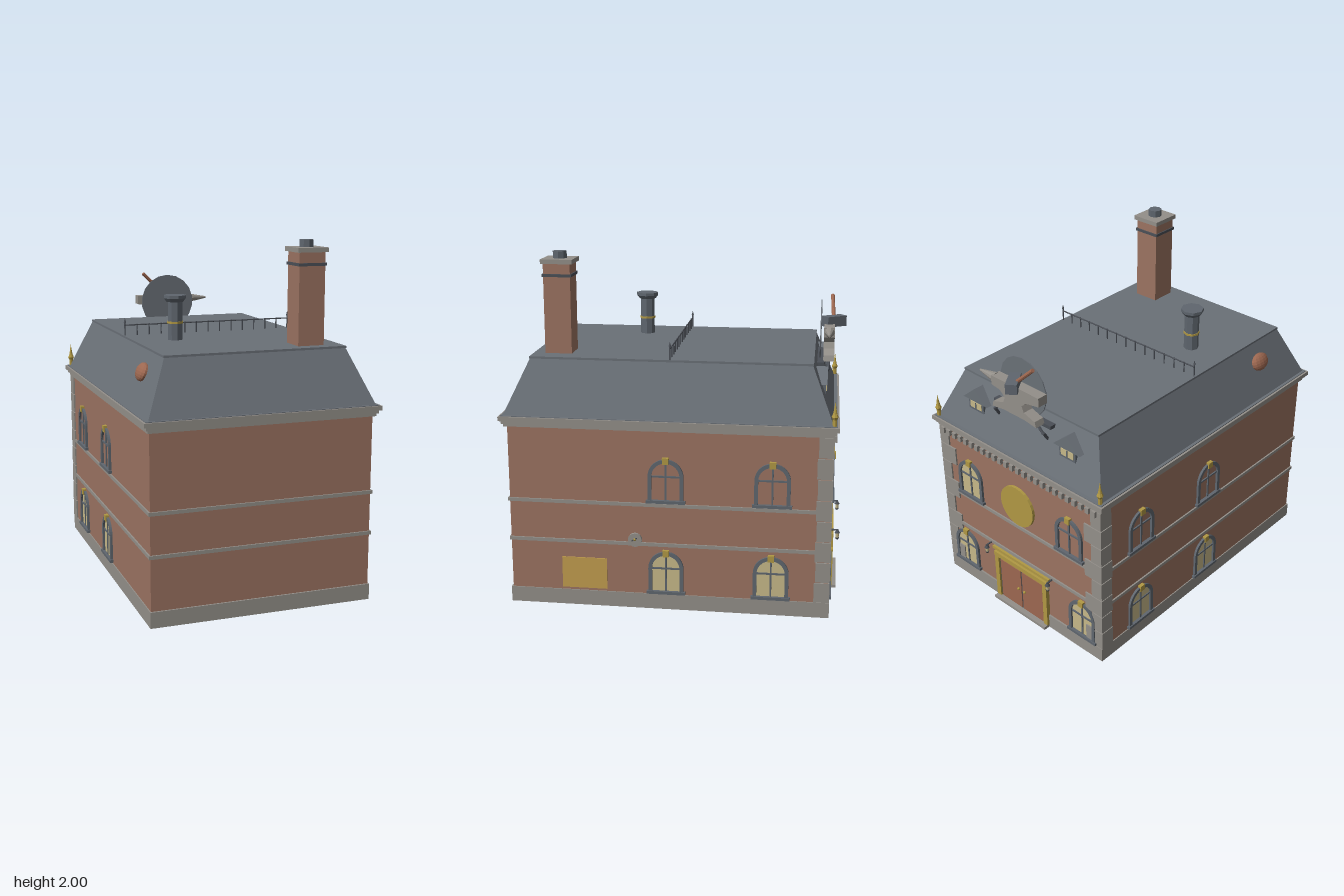
import * as THREE from 'three';

const mat = (name, color) => {
  const m = new THREE.MeshStandardMaterial({ color });
  m.name = name;
  return m;
};

export function createModel() {
  const root = new THREE.Group();
  root.name = 'townHall';
  const brick = mat('brick', 0x9b7361), slate = mat('slate', 0x6a7077), stone = mat('stone', 0x938f89);
  const iron = mat('iron', 0x4b4f56), trim = mat('window trim', 0x5f666e), brass = mat('brass', 0xb09844);
  const lit = mat('lit glass', 0xc6b888), copper = mat('copper', 0x9c6750), amber = mat('amber sign', 0xc29d4e);
  for (const m of [brick, slate, stone, iron, trim, brass, copper]) m.flatShading = true;

  const add = (name, geo, m, parent = root) => {
    const mesh = new THREE.Mesh(geo, m);
    mesh.name = name;
    parent.add(mesh);
    return mesh;
  };
  // Box given by its limits
  const box = (name, m, x0, x1, y0, y1, z0, z1, parent) => {
    const b = add(name, new THREE.BoxGeometry(x1 - x0, y1 - y0, z1 - z0), m, parent);
    b.position.set((x0 + x1) / 2, (y0 + y1) / 2, (z0 + z1) / 2);
    return b;
  };
  const cyl = (name, m, rTop, rBot, y0, y1, x, z, sides = 8, parent = root) => {
    const c = add(name, new THREE.CylinderGeometry(rTop, rBot, y1 - y0, sides), m, parent);
    c.position.set(x, (y0 + y1) / 2, z);
    return c;
  };
  const rod = (name, m, a, b, r, sides = 6) => {
    const p = new THREE.Vector3(...a), q = new THREE.Vector3(...b);
    const c = add(name, new THREE.CylinderGeometry(r, r, p.distanceTo(q), sides), m);
    c.position.copy(p).add(q).multiplyScalar(0.5);
    c.quaternion.setFromUnitVectors(new THREE.Vector3(0, 1, 0), q.sub(p).normalize());
    return c;
  };
  const extrude = (shape, depth) => new THREE.ExtrudeGeometry(shape, { depth, bevelEnabled: false, curveSegments: 10 });
  const poly = pts => new THREE.Shape(pts.map(p => new THREE.Vector2(...p)));

  // Walls, plinth, string courses and stepped cornice
  box('walls', brick, -0.634, 0.634, 0.01, 1.06, -0.893, 0.915);
  box('plinth', stone, -0.64, 0.64, 0, 0.09, -0.903, 0.925);
  box('lowerBand', stone, -0.643, 0.643, 0.38, 0.4, -0.902, 0.924);
  box('upperBand', stone, -0.643, 0.643, 0.615, 0.635, -0.902, 0.924);
  [[0.648, 1.055, 1.072], [0.658, 1.072, 1.09], [0.672, 1.09, 1.115]].forEach(([w, a, b]) =>
    box('cornice', stone, -w, w, a, b, -w - 0.254, w + 0.285));
  box('gutter', slate, -0.66, 0.66, 1.113, 1.119, -0.915, 0.946);

  // Mansard roof: a box with its top drawn inwards
  const roofGeo = new THREE.BoxGeometry(1.29, 0.308, 1.831);
  const rp = roofGeo.attributes.position;
  for (let i = 0; i < rp.count; i++) {
    if (rp.getY(i) > 0) rp.setXYZ(i, Math.sign(rp.getX(i)) * 0.515, 0.154, rp.getZ(i) > 0 ? 0.78 : -0.792);
  }
  roofGeo.computeVertexNormals();
  add('mansardRoof', roofGeo, slate).position.set(0, 1.269, 0.02);
  box('roofDeck', slate, -0.52, 0.52, 1.418, 1.43, -0.777, 0.805);

  // Quoins and dentils on the entrance side
  for (const s of [-1, 1]) {
    for (let i = 0; i < 8; i++) {
      const y = 0.09 + i * 0.1206, w = i % 2 ? 0.075 : 0.125, d = i % 2 ? 0.073 : 0.079;
      const q = box('quoin', stone, -w / 2, w / 2, y + 0.003, y + 0.1176, -0.902, -0.893 + d);
      q.position.x = s * (0.643 - w / 2);
    }
  }
  for (let i = 0; i < 26; i++) {
    const x = -0.6 + i * 0.048;
    box('dentil', stone, x - 0.013, x + 0.013, 1.02, 1.056, -0.915, -0.89);
  }

  // Arched windows
  const arch = (r, bottom) => {
    const s = new THREE.Shape();
    s.moveTo(-r, bottom);
    s.lineTo(r, bottom);
    s.lineTo(r, 0);
    s.absarc(0, 0, r, 0, Math.PI, false);
    s.lineTo(-r, bottom);
    return s;
  };
  const frameShape = arch(0.1, -0.14);
  frameShape.holes.push(arch(0.079, -0.139));
  const frameGeo = extrude(frameShape, 0.014), paneGeo = new THREE.ShapeGeometry(arch(0.08, -0.14), 10);
  const makeWindow = (x, y, z, turn, isLit) => {
    const g = new THREE.Group();
    g.name = 'archedWindow';
    add('frame', frameGeo, trim, g);
    if (isLit) add('pane', paneGeo, lit, g).position.z = 0.002;
    box('mullion', trim, -0.005, 0.005, -0.14, 0.08, 0, 0.008, g);
    box('transom', trim, -0.08, 0.08, -0.006, 0.004, 0, 0.008, g);
    box('sill', trim, -0.11, 0.11, -0.155, -0.138, 0, 0.02, g);
    box('keystone', brass, -0.018, 0.018, 0.073, 0.11, 0, 0.021, g);
    g.position.set(x, y, z);
    g.rotation.y = turn;
    root.add(g);
  };
  for (const s of [-1, 1]) {
    for (const z of [0.02, -0.573]) {
      makeWindow(s * 0.634, 0.25, z, s * Math.PI / 2, true);
      makeWindow(s * 0.634, 0.795, z, s * Math.PI / 2, false);
    }
    makeWindow(s * 0.485, 0.25, -0.893, Math.PI, true);
    makeWindow(s * 0.4, 0.795, -0.893, Math.PI, s > 0);
  }

  // Round brass plaque above the entrance
  const plaque = cyl('roundPlaque', brass, 0.13, 0.13, 0.77, 0.79, 0, -0.9, 24);
  plaque.rotation.x = Math.PI / 2;

  // Entrance: double door, brass surround, step and lamps
  box('doorStep', stone, -0.215, 0.215, 0, 0.018, -0.942, -0.89);
  box('doorRecess', iron, -0.19, 0.19, 0.018, 0.315, -0.906, -0.89);
  for (const s of [-1, 1]) {
    box('doorLeaf', copper, s * 0.09 - 0.085, s * 0.09 + 0.085, 0.02, 0.3, -0.91, -0.9);
    box('doorPost', brass, s * 0.2 - 0.016, s * 0.2 + 0.016, 0.018, 0.32, -0.918, -0.89);
    const knob = add('doorKnob', new THREE.SphereGeometry(0.009, 8, 6), brass);
    knob.position.set(s * 0.025, 0.16, -0.914);
    rod('lampArm', iron, [s * 0.255, 0.385, -0.89], [s * 0.255, 0.385, -0.947], 0.005);
    cyl('lampGlass', lit, 0.011, 0.009, 0.338, 0.368, s * 0.255, -0.94);
    cyl('lampCap', iron, 0.006, 0.016, 0.366, 0.384, s * 0.255, -0.94);
    cyl('lampFoot', iron, 0.012, 0.008, 0.328, 0.338, s * 0.255, -0.94);
  }
  box('lintel', brass, -0.22, 0.22, 0.315, 0.345, -0.918, -0.89);
  box('lintelCap', brass, -0.235, 0.235, 0.358, 0.376, -0.914, -0.89);

  // Side sign plate and wall gauge
  box('signPlate', amber, 0.634, 0.64, 0.105, 0.29, 0.36, 0.62);
  const gauge = cyl('wallGauge', stone, 0.04, 0.04, 0.405, 0.425, 0.641, 0.195, 16);
  gauge.rotation.z = Math.PI / 2;
  const needle = box('gaugeNeedle', iron, 0.65, 0.656, 0.417, 0.423, 0.18, 0.215);
  needle.rotation.x = 0.5;
  const hub = add('gaugeHub', new THREE.SphereGeometry(0.008, 8, 6), brass);
  hub.position.set(0.652, 0.42, 0.195);

  // Chimney
  box('chimneyStack', brick, 0.264, 0.416, 1.42, 1.94, 0.585, 0.738);
  box('chimneyBand', iron, 0.257, 0.423, 1.862, 1.878, 0.578, 0.745);
  box('chimneyCap', stone, 0.25, 0.43, 1.935, 1.96, 0.57, 0.75);
  cyl('chimneyPot', trim, 0.04, 0.04, 1.955, 2, 0.338, 0.658);

  // Roof vent
  cyl('ventPipe', trim, 0.043, 0.043, 1.42, 1.66, -0.285, 0.265);
  cyl('ventRing', brass, 0.047, 0.047, 1.523, 1.535, -0.285, 0.265);
  cyl('ventFlare', trim, 0.066, 0.05, 1.645, 1.665, -0.285, 0.265);
  cyl('ventCap', trim, 0.066, 0.066, 1.665, 1.682, -0.285, 0.265);

  // Roof railing
  rod('handRail', iron, [-0.513, 1.49, 0.012], [0.513, 1.49, 0.012], 0.004);
  for (let i = 0; i < 15; i++) {
    const x = -0.511 + i * 0.073, end = i % 14 === 0;
    cyl('railPost', iron, 0.004, 0.004, 1.425, end ? 1.51 : 1.495, x, 0.012, 6);
    if (end) cyl('railSpike', iron, 0, 0.007, 1.505, 1.532, x, 0.012, 6);
  }

  // Copper dome on the roof slope
  const dome = add('copperDome', new THREE.SphereGeometry(0.07, 14, 10), copper);
  dome.scale.set(0.45, 0.75, 1);
  dome.position.set(-0.568, 1.31, 0.57);
  dome.rotation.z = -0.39;

  for (const s of [-1, 1]) {
    // Corner finials
    const finial = [[0.012, 0], [0.012, 0.04], [0.019, 0.055], [0.012, 0.072], [0.009, 0.085], [0, 0.14]];
    add('finial', new THREE.LatheGeometry(finial.map(p => new THREE.Vector2(...p)), 8), brass)
      .position.set(s * 0.638, 1.115, -0.898);
    // Dormers
    const x = s * 0.357;
    add('dormerRoof', extrude(poly([[-0.098, 0], [0.098, 0], [0, 0.083]]), 0.068), slate)
      .position.set(x, 1.302, -0.853);
    box('dormerBody', trim, x - 0.06, x + 0.06, 1.24, 1.303, -0.846, -0.8);
    box('dormerPane', lit, x - 0.045, x + 0.045, 1.255, 1.295, -0.85, -0.844);
    box('dormerBar', trim, x - 0.004, x + 0.004, 1.255, 1.295, -0.853, -0.844);
    // Struts holding the rooftop emblem
    rod('strut', iron, [s * 0.15, 1.37, -0.855], [s * 0.19, 1.33, -0.855], 0.009);
    rod('strutFoot', iron, [s * 0.19, 1.335, -0.855], [s * 0.19, 1.28, -0.82], 0.009);
  }

  // Round backing plate, anvil and hammer
  const plate = cyl('backingPlate', slate, 0.175, 0.175, 1.523, 1.529, 0, -0.806, 18);
  plate.rotation.x = Math.PI / 2;
  box('anvilShelf', iron, -0.22, 0.22, 1.355, 1.376, -0.83, -0.79);
  add('anvilBody', extrude(poly([
    [-0.17, 1.372], [-0.08, 1.385], [0.08, 1.385], [0.17, 1.372], [0.16, 1.405], [0.08, 1.43], [0.065, 1.465],
    [0.1, 1.5], [0.165, 1.51], [0.165, 1.565], [-0.197, 1.565], [-0.197, 1.512], [-0.1, 1.495], [-0.065, 1.465],
    [-0.08, 1.43], [-0.16, 1.405]]), 0.062), stone).position.z = -0.886;
  const horn = add('anvilHorn', new THREE.CylinderGeometry(0.006, 0.031, 0.13, 10), stone);
  horn.rotation.z = -Math.PI / 2;
  horn.position.set(0.22, 1.54, -0.855);
  const head = box('hammerHead', trim, -0.032, 0.032, 1.548, 1.608, -0.945, -0.815);
  head.position.x = -0.005;
  head.rotation.set(0, 0.62, 0);
  rod('hammerHandle', copper, [-0.148, 1.708, -0.868], [-0.01, 1.58, -0.878], 0.011, 8);

  return root;
}
